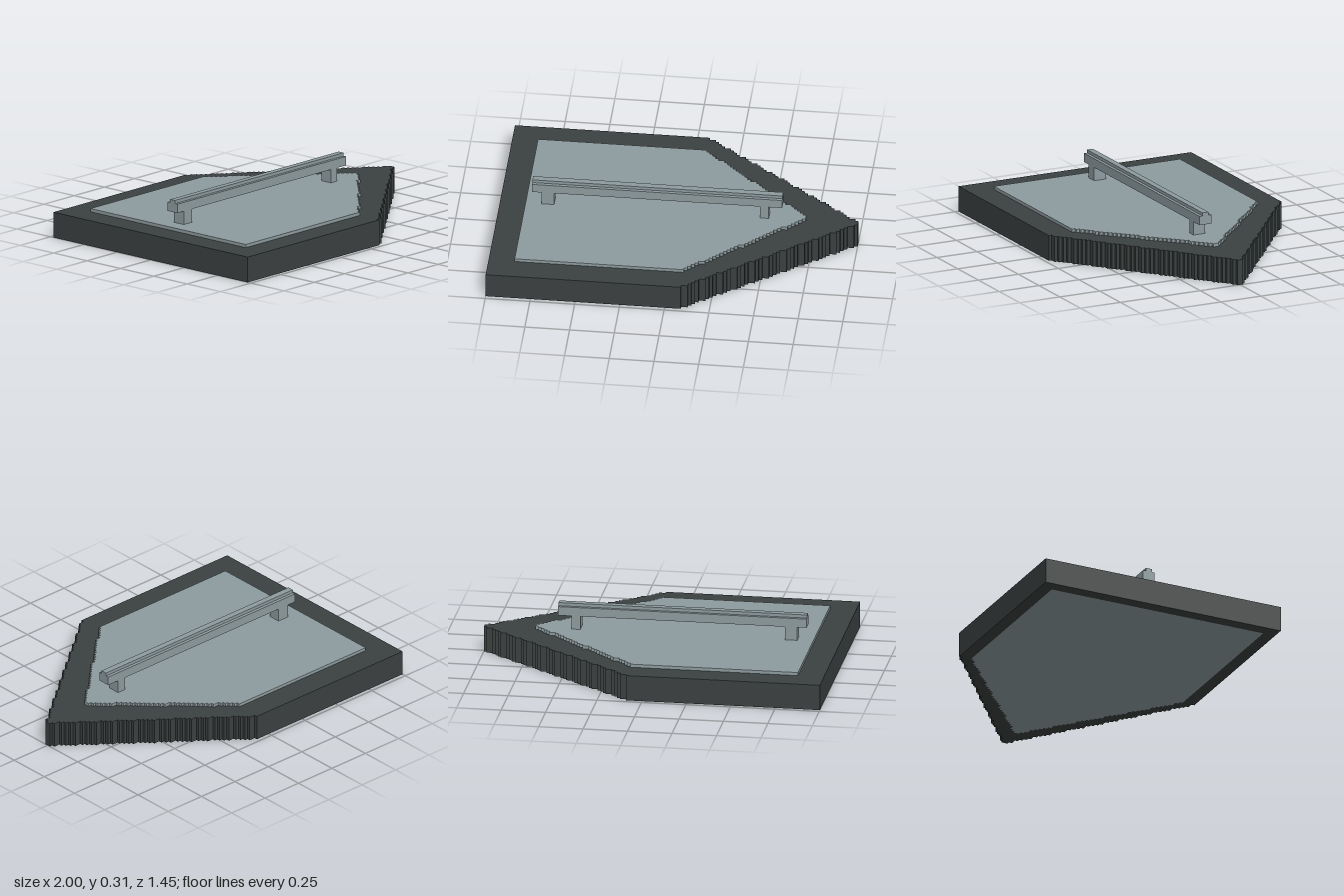
import * as THREE from 'three';

const U = 2 / 110; // one grid step
const SHOULDER = 4; // grid column where the sides turn towards the point

// Stepped arrow-shaped outline, pulled in by a number of grid steps
function outlinePoints(inset) {
  const rows = 40 - inset;
  const back = -55 + inset;
  const tip = 55 - 2 * inset;
  const half = [];
  for (let i = 0; i < rows; i++) {
    const x = Math.round(SHOULDER + (tip - SHOULDER) * (1 - i / rows));
    half.push([x, i], [x, i + 1]);
  }
  half.shift(); // the two middle rows share one flat tip
  const pts = [[back, -rows]];
  for (let i = half.length - 1; i >= 0; i--) pts.push([half[i][0], -half[i][1]]);
  pts.push(...half, [back, rows]);
  return pts.map(([x, z]) => new THREE.Vector2(x * U, z * U));
}

function slab(name, material, inset, y0, y1, holeInset) {
  const shape = new THREE.Shape(outlinePoints(inset));
  if (holeInset) shape.holes.push(new THREE.Path(outlinePoints(holeInset)));
  const geo = new THREE.ExtrudeGeometry(shape, { depth: (y1 - y0) * U, bevelEnabled: false });
  geo.rotateX(-Math.PI / 2);
  geo.translate(0, y0 * U, 0);
  const mesh = new THREE.Mesh(geo, material);
  mesh.name = name;
  return mesh;
}

function block(name, material, x0, x1, y0, y1, halfZ) {
  const geo = new THREE.BoxGeometry(x1 - x0, y1 - y0, halfZ * 2);
  geo.translate((x0 + x1) / 2, (y0 + y1) / 2, 0);
  const mesh = new THREE.Mesh(geo, material);
  mesh.name = name;
  return mesh;
}

export function createModel() {
  const dark = new THREE.MeshStandardMaterial({ color: 0x3b4040 });
  dark.name = 'dark rim';
  const light = new THREE.MeshStandardMaterial({ color: 0x8e9c9f });
  light.name = 'light metal';

  const group = new THREE.Group();
  group.name = 'hatch';

  // Thick base with a light plate set flush into the underside
  group.add(slab('baseLowerRim', dark, 0, 0, 1, 4));
  group.add(slab('undersidePlate', light, 4, 0, 1));
  group.add(slab('base', dark, 0, 1, 8));

  // Raised top plate
  group.add(slab('topPlate', light, 8, 8, 9));

  // Handle: two posts, a rail and a narrow ridge along it
  const handle = new THREE.Group();
  handle.name = 'handle';
  handle.add(block('rearPost', light, -0.765, -0.695, 9 * U, 0.24, 2 * U));
  handle.add(block('tipPost', light, 0.455, 0.505, 9 * U, 0.24, 2 * U));
  handle.add(block('rail', light, -0.818, 0.58, 0.24, 16 * U, 2 * U));
  handle.add(block('railRidge', light, -0.818, 0.58, 16 * U, 17 * U, U));
  group.add(handle);

  return group;
}
